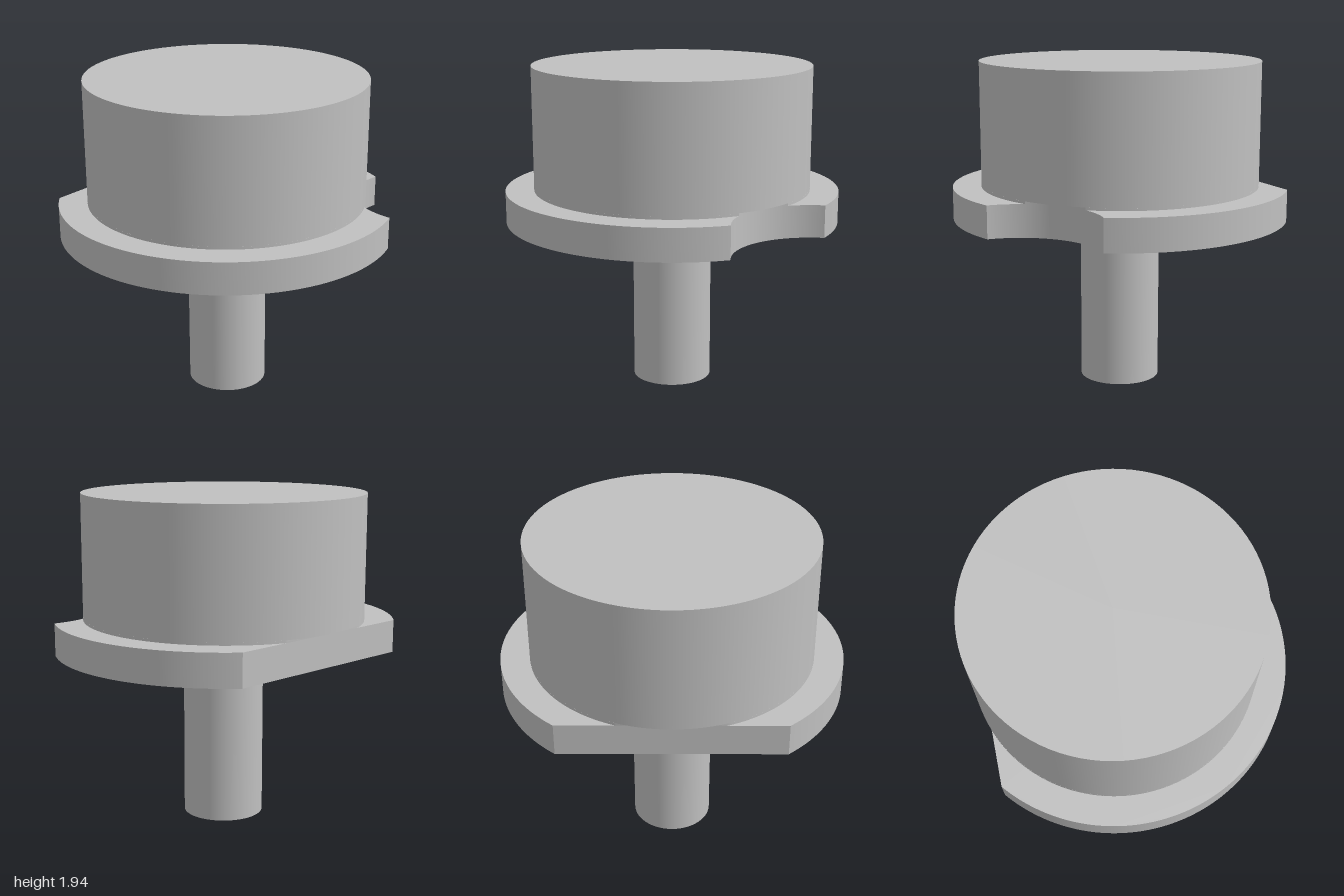
import * as THREE from 'three';
import { toCreasedNormals } from 'three/addons/utils/BufferGeometryUtils.js';

const CENTRE_X = -0.085;
const FLAT = 0.775; // distance from the axis to the flat side
const NOTCH = { angle: 0.651, dist: 1.24, radius: 0.47 };

// Disc of radius r, trimmed by the flat side and the round notch
function trimmedDisc(r) {
  const { angle, dist, radius } = NOTCH;
  const half = Math.acos((r * r + dist * dist - radius * radius) / (2 * r * dist));
  const flatHalf = Math.acos(FLAT / r);
  const cx = dist * Math.cos(angle), cy = dist * Math.sin(angle);
  const toNotch = (a) => Math.atan2(r * Math.sin(a) - cy, r * Math.cos(a) - cx);
  const shape = new THREE.Shape();
  shape.absarc(0, 0, r, angle + half, Math.PI - flatHalf, false);
  shape.absarc(0, 0, r, Math.PI + flatHalf, Math.PI * 2 + angle - half, false);
  let start = toNotch(angle - half), end = toNotch(angle + half);
  if (start < 0) start += Math.PI * 2;
  if (end < 0) end += Math.PI * 2;
  shape.absarc(cx, cy, radius, start, end, true);
  shape.closePath();
  return shape;
}

export function createModel() {
  const model = new THREE.Group();
  const grey = new THREE.MeshStandardMaterial({ color: 0xc0c0c0 });
  grey.name = 'plain grey';

  const add = (name, geometry, y) => {
    const mesh = new THREE.Mesh(geometry, grey);
    mesh.name = name;
    mesh.position.set(CENTRE_X, y, 0);
    model.add(mesh);
  };
  const plate = (name, r, y0, y1) => {
    const g = new THREE.ExtrudeGeometry(trimmedDisc(r), {
      depth: y1 - y0, bevelEnabled: false, curveSegments: 64,
    });
    g.rotateX(-Math.PI / 2);
    add(name, toCreasedNormals(g, 0.5), y0);
  };
  const rod = (name, r, y0, y1) =>
    add(name, new THREE.CylinderGeometry(r, r, y1 - y0, 96), (y0 + y1) / 2);

  rod('shaft', 0.237, 0, 1.01);
  plate('flange', 1, 1.005, 1.195);
  // Thin foot of the drum, trimmed like the flange, leaving the drum overhanging
  plate('drumFoot', 0.83, 1.195, 1.21);
  rod('drum', 0.83, 1.21, 1.935);
  return model;
}
